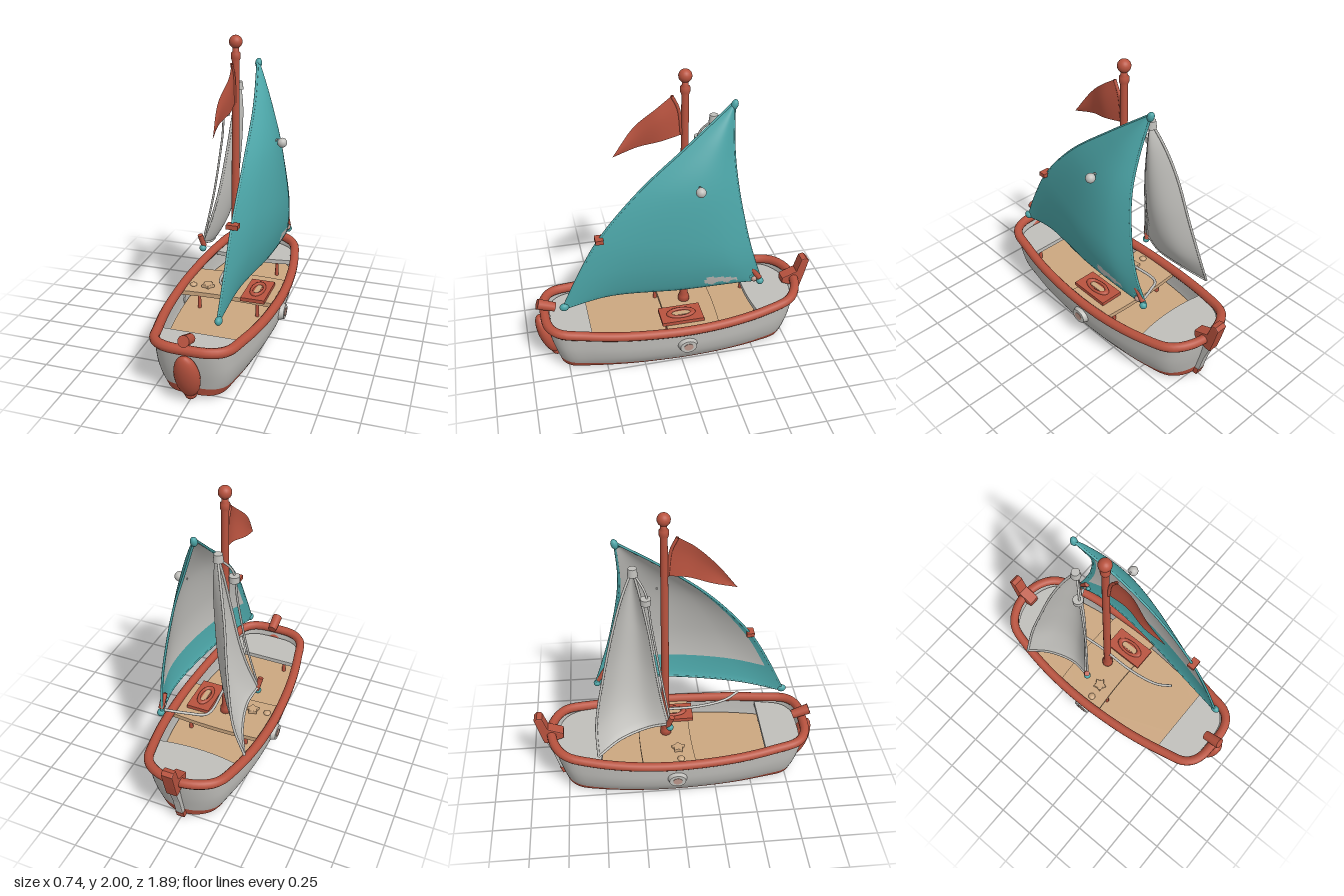
import * as THREE from 'three';

const mat = (name, color, side = THREE.FrontSide) =>
  new THREE.MeshStandardMaterial({ name, color, side });
const V = (p) => new THREE.Vector3(...p);
const curve = (pts, closed = false) => new THREE.CatmullRomCurve3(pts.map(V), closed);

// Plan outline of the gunwale, one half as [x, z] from bow to stern
const half = [[0, .875], [.15, .86], [.225, .8], [.265, .65], [.31, .4], [.335, .1], [.338, -.1],
  [.322, -.35], [.285, -.58], [.235, -.74], [.14, -.815], [0, -.845]];
const sheer = (z) => .32 + (z > 0 ? .045 : .068) * (z / .88) ** 2;
const outline = curve([...half, ...half.slice(1, -1).reverse().map(([x, z]) => [-x, z])]
  .map(([x, z]) => [x, 0, z]), true);

export function createModel() {
  const boat = new THREE.Group();
  boat.name = 'sailboat';
  const red = mat('red paint', 0xb9533f, THREE.DoubleSide);
  const grey = mat('pale grey', 0xc0bfbb, THREE.DoubleSide);
  const teal = mat('teal cloth', 0x4ba4a6, THREE.DoubleSide);
  const wood = mat('light wood', 0xcca780);
  const pink = mat('dusty pink', 0xb9968a);

  const add = (name, geo, material, pos = [0, 0, 0], rot = [0, 0, 0], scale = [1, 1, 1]) => {
    const m = new THREE.Mesh(geo, material);
    m.name = name;
    m.position.set(...pos);
    m.rotation.set(...rot);
    m.scale.set(...scale);
    boat.add(m);
  };
  const ball = (name, r, material, pos, scale, rot) =>
    add(name, new THREE.SphereGeometry(r, 20, 14), material, pos, rot, scale);
  const tube = (name, pts, r, material, closed = false, n = 48) =>
    add(name, new THREE.TubeGeometry(curve(pts, closed), n, r, 10, closed), material);

  // Indexed grid surface; keep(u, v) picks the cells that are built
  const grid = (fn, nu, nv, keep = () => true) => {
    const pos = [], idx = [];
    for (let j = 0; j <= nv; j++) for (let i = 0; i <= nu; i++) pos.push(...fn(i / nu, j / nv));
    for (let j = 0; j < nv; j++) for (let i = 0; i < nu; i++) {
      if (!keep((i + .5) / nu, (j + .5) / nv)) continue;
      const a = j * (nu + 1) + i, b = a + 1, c = a + nu + 1, d = c + 1;
      idx.push(a, b, d, a, d, c);
    }
    const g = new THREE.BufferGeometry();
    g.setAttribute('position', new THREE.Float32BufferAttribute(pos, 3));
    g.setIndex(idx);
    g.computeVertexNormals();
    return g;
  };

  // Hull: the plan outline shrinks towards the flat bottom; the red band rises at both ends
  const width = curve([[.77, 0, .915], [.905, .25, .94], [.97, .5, .965], [.99, .75, .985], [1, 1, 1]]);
  const band = (z) => .05 + .11 * (z / .85) ** 2;
  const hullPoint = (p, k) => {
    const w = width.getPoint(k);
    return [p.x * w.x, .025 + (sheer(p.z) - .025) * k, p.z * w.z];
  };
  add('hullSides', grid((u, v) => {
    const p = outline.getPoint(u), b = band(p.z);
    return hullPoint(p, b + (1 - b) * v);
  }, 96, 14), grey);
  add('hullBottomBand', grid((u, v) => {
    const p = outline.getPoint(u);
    return hullPoint(p, band(p.z) * v);
  }, 96, 3), red);
  add('hullBottom', grid((u, v) => {
    const p = hullPoint(outline.getPoint(u), 0);
    return [p[0] * v, .015 + .01 * v, p[2] * v];
  }, 96, 4), red);
  tube('gunwale', outline.getPoints(60).slice(0, -1).map((p) => [p.x, sheer(p.z), p.z]), .031, red, true, 140);

  // Stem with knob at the bow
  ball('bowStem', 1, red, [0, .19, .87], [.08, .165, .055], [.3, 0, 0]);
  ball('bowFoot', .045, red, [0, .046, .81], [.9, 1, 1]);
  add('bowKnob', new THREE.CylinderGeometry(.036, .031, .12, 14), red, [0, .425, .86], [1.2, 0, 0]);

  // Stern post: red head above a grey keel edge, drawn as [distance aft, height]
  const sternPiece = (name, pts, w, material) => {
    const sh = new THREE.Shape(pts.map((p) => new THREE.Vector2(...p)));
    const g = new THREE.ExtrudeGeometry(sh, { depth: w - .016, bevelSize: .008, bevelThickness: .008, bevelSegments: 2 });
    add(name, g.rotateY(Math.PI / 2).translate(.008 - w / 2, 0, 0), material);
  };
  sternPiece('sternPostHead', [[.77, .36], [.865, .32], [.89, .32], [.912, .4], [.94, .515], [.925, .53],
    [.9, .525], [.87, .43], [.77, .39]], .078, red);
  sternPiece('sternKeelEdge', [[.76, .05], [.8, .05], [.838, .2], [.882, .32], [.82, .32]], .05, grey);
  sternPiece('sternFoot', [[.74, .02], [.79, .02], [.805, .06], [.74, .06]], .06, red);

  // Boards cut from the plan outline between two z positions, with bowed edges
  const board = (name, za, zb, bowA, bowB, y, t, s, material) => {
    const pts = outline.getPoints(160).filter((p) => p.x >= 0 && p.z * s <= za && p.z * s >= zb)
      .map((p) => [p.x * s, -p.z * s]).sort((a, b) => a[1] - b[1]);
    const sh = new THREE.Shape();
    const [x0, y0] = pts[0], [x1, y1] = pts[pts.length - 1];
    sh.moveTo(x0, y0);
    pts.forEach((p) => sh.lineTo(...p));
    sh.quadraticCurveTo(0, y1 + bowB, -x1, y1);
    [...pts].reverse().forEach(([x, q]) => sh.lineTo(-x, q));
    sh.quadraticCurveTo(0, y0 + bowA, x0, y0);
    const g = new THREE.ExtrudeGeometry(sh, { depth: t, bevelEnabled: false, curveSegments: 16 });
    add(name, g.rotateX(-Math.PI / 2), material, [0, y, 0]);
  };
  board('floor', .9, -.9, 0, 0, .18, .02, .93, wood);
  board('bowSeat', .9, .56, 0, 0, .28, .03, .96, grey);
  board('middleBench', .13, -.24, .03, .03, .285, .03, .96, wood);
  board('sternSeat', -.5, -.9, -.06, 0, .3, .03, .96, grey);
  for (const [z, w] of [[.62, .17], [.09, .2], [-.2, .2], [-.53, .17]])
    for (const x of [-w, w])
      add('seatPillar', new THREE.CylinderGeometry(.011, .014, .1, 8), red, [x, .24, z]);

  // Red hatch with a raised ring, and beach finds on the bench
  add('hatch', new THREE.BoxGeometry(.16, .025, .28), red, [.175, .327, -.01]);
  add('hatchRing', new THREE.TorusGeometry(.05, .012, 8, 24), red, [.175, .343, -.01], [Math.PI / 2, 0, 0], [.8, 1.6, 1]);
  add('hatchSlot', new THREE.BoxGeometry(.035, .006, .12), wood, [.175, .34, -.01]);
  const star = new THREE.Shape();
  for (let i = 0; i < 10; i++) {
    const a = i * Math.PI / 5, r = i % 2 ? .026 : .04;
    star[i ? 'lineTo' : 'moveTo'](r * Math.cos(a), r * Math.sin(a));
  }
  add('starfish', new THREE.ExtrudeGeometry(star, { depth: .012, bevelSize: .004, bevelThickness: .006 })
    .rotateX(-Math.PI / 2), wood, [-.17, .318, 0]);
  ball('shell', .024, wood, [-.27, .32, .01], [1, .6, 1]);

  // Portholes on both sides
  for (const s of [1, -1]) {
    add('portholeFrame', new THREE.CylinderGeometry(.05, .062, .04, 28), grey, [s * .342, .2, -.02], [0, 0, -s * Math.PI / 2], [.92, 1, 1.1]);
    add('portholeGlass', new THREE.CylinderGeometry(.028, .028, .006, 24), pink, [s * .362, .2, -.02], [0, 0, Math.PI / 2], [.92, 1, 1.1]);
  }

  // Mast
  const mz = -.07;
  const mast = [[0, .3], [.038, .3], [.036, .35], [.026, .37], [.024, 1.5], [.022, 1.84],
    [.03, 1.86], [.03, 1.89], [.02, 1.9], [.02, 1.94], [0, 1.94]].map((p) => new THREE.Vector2(...p));
  add('mast', new THREE.LatheGeometry(mast, 18), red, [0, 0, mz]);
  ball('mastBall', .041, red, [0, 1.959, mz]);

  // Three-cornered cloth from two side edges meeting at a peak and a foot edge
  const cloth = (a, b, f, belly, dx = 0) => {
    const A = curve(a), B = curve(b), F = curve(f);
    return (u, v) => {
      const p = A.getPoint(v).lerp(B.getPoint(v), u);
      const base = A.getPoint(0).lerp(B.getPoint(0), u);
      p.addScaledVector(F.getPoint(u).sub(base), (1 - v) ** 2);
      return [p.x + dx + belly * Math.sin(Math.PI * u) * Math.sin(Math.PI * v) ** .7, p.y, p.z];
    };
  };

  // Main sail: teal outside, grey lining with a teal hem inside
  const luff = [[.155, .5, .76], [.162, .75, .645], [.162, 1, .505], [.155, 1.31, .24], [.125, 1.57, -.07], [.065, 1.79, -.355]];
  const leech = [[.245, .58, -.53], [.265, .76, -.47], [.262, .94, -.42], [.215, 1.29, -.355], [.15, 1.52, -.34], [.065, 1.79, -.355]];
  const foot = [[.155, .5, .76], [.185, .58, .46], [.255, .605, 0], [.27, .61, -.35], [.245, .58, -.53]];
  const isPatch = (u, v) => v > .012 + .03 * Math.abs(Math.sin(u * 40)) && v < .11 - .3 * (u - .6) && u > .59 + .2 * v && u < .77;
  const isHem = (u, v) => v < .17 || u < .05 || u > .95 || v > .95;
  const outer = cloth(luff, leech, foot, .07), inner = cloth(luff, leech, foot, .07, -.012);
  add('mainSail', grid(outer, 80, 80, (u, v) => !isPatch(u, v)), teal);
  add('sailPatch', grid(outer, 80, 80, isPatch), grey);
  add('mainSailLining', grid(inner, 48, 48, (u, v) => !isHem(u, v)), grey);
  add('mainSailHem', grid(inner, 48, 48, isHem), teal);
  for (const edge of [luff, leech, foot])
    tube('sailEdge', edge.map(([x, y, z]) => [x - .006, y, z]), .0075, teal);
  ball('peakKnot', .022, teal, [.065, 1.775, -.355], [1, 1.5, 1], [-.3, 0, 0]);
  ball('tackKnot', .022, teal, [.155, .515, .75], [1, 1.2, 1.4]);
  ball('clewKnot', .024, teal, [.25, .58, -.52]);
  ball('clewTie', .018, teal, [.25, .635, -.45]);
  ball('clewBead', .02, pink, [.255, .61, -.475]);
  add('clewPeg', new THREE.CylinderGeometry(.018, .018, .1, 10), red, [.25, .65, -.485], [.6, 0, 0]);
  add('luffClip', new THREE.BoxGeometry(.07, .028, .05), red, [.163, 1.005, .505]);
  ball('sailFloat', .031, grey, [.295, 1.34, -.1]);
  tube('floatCord', [[.24, 1.33, -.1], [.265, 1.36, -.1], [.29, 1.34, -.1]], .005, grey);

  // Rear grey sail, bellied towards the mast
  const back = [[-.325, .44, -.53], [-.25, .65, -.53], [-.185, .97, -.47], [-.135, 1.29, -.395], [-.085, 1.5, -.33], [-.035, 1.66, -.26]];
  const fore = [[-.23, .6, -.07], [-.175, .78, -.11], [-.13, .97, -.14], [-.09, 1.23, -.175], [-.06, 1.48, -.22], [-.035, 1.66, -.26]];
  const hem = [[-.325, .44, -.53], [-.25, .51, -.38], [-.21, .56, -.2], [-.23, .6, -.07]];
  add('rearSail', grid(cloth(back, fore, hem, .085), 32, 40), grey);
  for (const edge of [back, fore, hem]) tube('rearSailEdge', edge, .008, grey);
  add('rearSailKnob', new THREE.CylinderGeometry(.026, .032, .05, 16), grey, [-.04, 1.645, -.26]);
  add('rearSailBlock', new THREE.CylinderGeometry(.033, .033, .04, 16), grey, [-.11, 1.48, -.19]);
  tube('rearSailRope', [[-.04, 1.63, -.25], [-.1, 1.53, -.19], [-.12, 1.3, -.16], [-.16, .95, -.11], [-.22, .62, -.06]], .007, grey);
  add('rearSailPeg', new THREE.CylinderGeometry(.018, .018, .09, 10), red, [-.23, .62, -.06], [.3, 0, .2]);
  ball('rearSailKnot', .023, teal, [-.225, .565, -.06]);

  // Boom rope
  tube('boomRope', [[.08, .57, .43], [.03, .55, .34], [0, .53, .15], [0, .525, -.1], [0, .53, -.37], [.1, .55, -.43], [.24, .58, -.49]], .009, grey);

  // Flag
  const hoist = [[0, 1.84, .01], [0, 1.75, -.03], [0, 1.58, -.05]];
  const flag = cloth([[0, 1.84, .01], [.012, 1.77, .11], [-.012, 1.655, .24], [0, 1.475, .375]],
    [[0, 1.58, -.05], [.012, 1.555, .08], [-.012, 1.52, .22], [0, 1.475, .375]], hoist, .01);
  add('flag', grid(flag, 14, 20), red);
  tube('flagHoist', hoist, .01, red);

  return boat;
}
